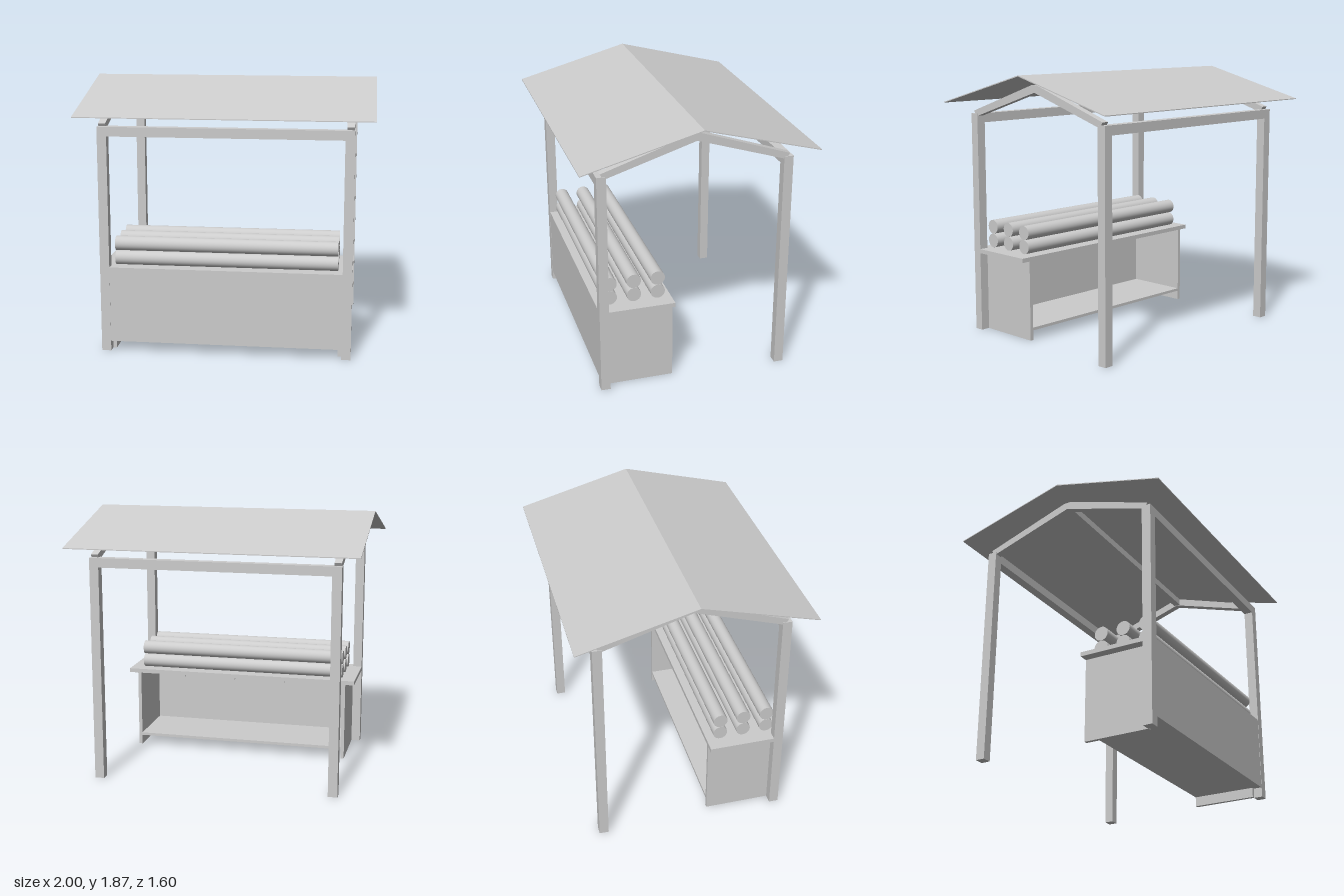
import * as THREE from 'three';

export function createModel() {
  const model = new THREE.Group();
  model.name = 'marketStall';
  const grey = new THREE.MeshStandardMaterial({ color: 0xcccccc });
  grey.name = 'pale grey';

  const add = (name, geometry) => {
    const mesh = new THREE.Mesh(geometry, grey);
    mesh.name = name;
    model.add(mesh);
    return mesh;
  };
  // Box given by its limits on each axis
  const box = (name, x0, x1, y0, y1, z0, z1) => {
    const mesh = add(name, new THREE.BoxGeometry(x1 - x0, y1 - y0, z1 - z0));
    mesh.position.set((x0 + x1) / 2, (y0 + y1) / 2, (z0 + z1) / 2);
    return mesh;
  };
  // Profile of [z, y] points extruded along x
  const profile = (name, points, x0, x1) => {
    const shape = new THREE.Shape(points.map(([z, y]) => new THREE.Vector2(-z, y)));
    const geometry = new THREE.ExtrudeGeometry(shape, { depth: x1 - x0, bevelEnabled: false });
    geometry.rotateY(Math.PI / 2);
    geometry.translate(x0, 0, 0);
    return add(name, geometry);
  };

  // Corner posts, and the beams joining them at front and back
  for (const sz of [1, -1]) {
    const z0 = sz > 0 ? 0.6 : -0.665;
    for (const sx of [1, -1]) {
      const x0 = sx > 0 ? 0.8 : -0.865;
      box('post', x0, x0 + 0.065, 0, 1.575, z0, z0 + 0.065);
    }
    box('crossBeam', -0.8, 0.8, 1.51, 1.575, z0, z0 + 0.065);
  }

  // Gable rafters and ridge beam
  const rafter = [
    [0.6, 1.56], [0.628, 1.575], [0.64, 1.595], [0.025, 1.8],
    [-0.025, 1.8], [-0.64, 1.595], [-0.628, 1.575], [-0.6, 1.56], [0, 1.75],
  ];
  profile('rafterPair', rafter, 0.81, 0.86);
  profile('rafterPair', rafter, -0.86, -0.81);
  box('ridgeBeam', -0.81, 0.81, 1.75, 1.8, -0.025, 0.025);

  // Thin folded roof
  profile('roof', [
    [0.8, 1.65], [0.8, 1.656], [0, 1.87], [-0.8, 1.656], [-0.8, 1.65], [0, 1.863],
  ], -1, 1);

  // Counter: front panel, sides, low shelf and worktop
  box('frontPanel', -0.8, 0.8, 0.07, 0.6, 0.6, 0.663);
  box('sidePanel', 0.775, 0.8, 0, 0.57, 0.14, 0.602);
  box('sidePanel', -0.8, -0.775, 0, 0.57, 0.14, 0.602);
  box('shelf', -0.775, 0.775, 0.07, 0.09, 0.14, 0.6);
  box('worktop', -0.865, 0.865, 0.57, 0.6, 0.14, 0.602);

  // Blocks under the worktop
  for (const x of [-0.61, -0.2, 0.2, 0.61]) {
    box('supportBlock', x - 0.06, x + 0.06, 0.44, 0.57, 0.57, 0.6);
  }

  // Two rows of three rolls on the worktop
  for (const y of [0.653, 0.754]) {
    for (const z of [0.235, 0.402, 0.57]) {
      const roll = add('roll', new THREE.CylinderGeometry(0.05, 0.05, 1.535, 32));
      roll.rotation.z = Math.PI / 2;
      roll.position.set(0, y, z);
    }
  }

  return model;
}
